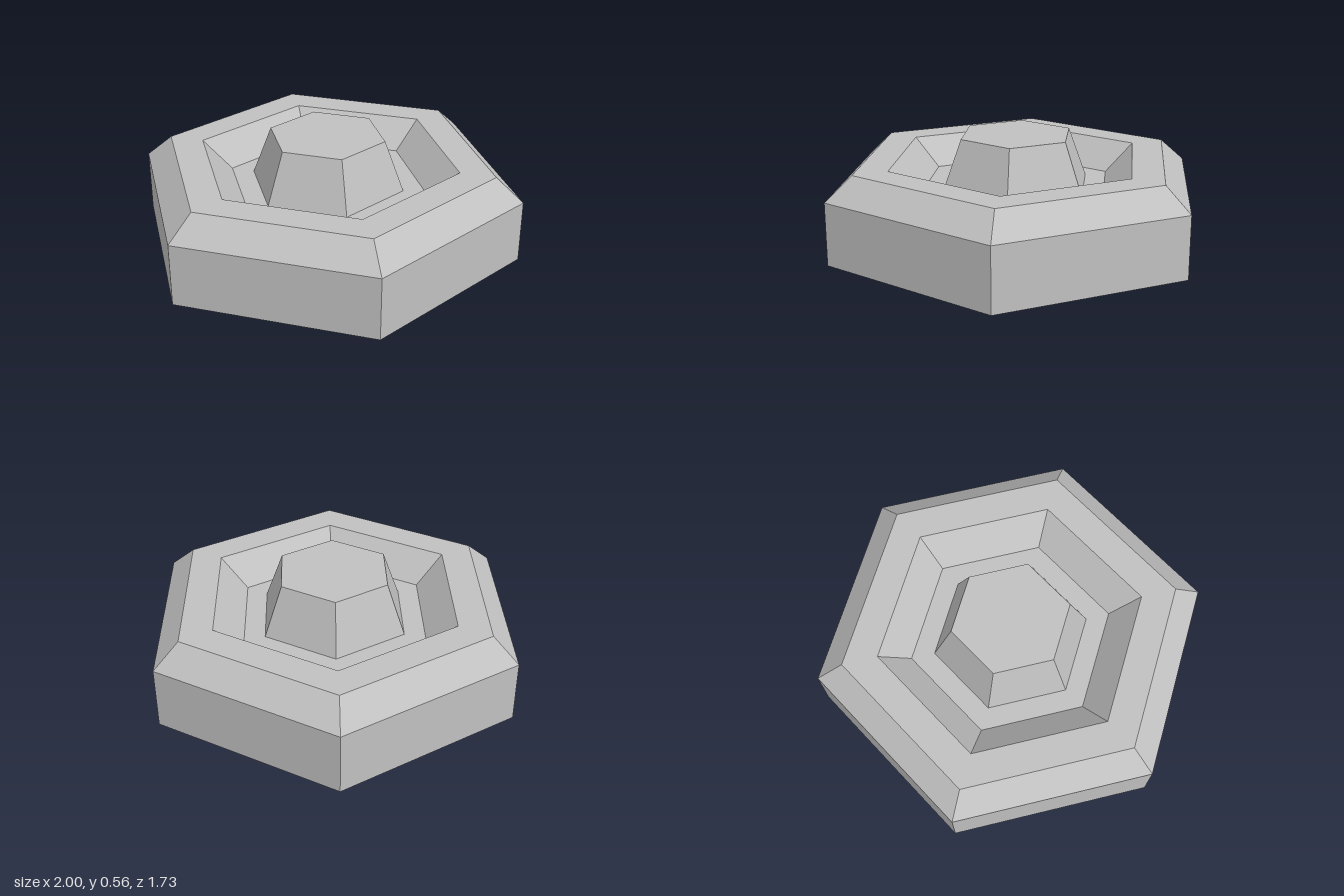
import * as THREE from 'three';

const SIDES = 6;

// Turns a [radius, height] profile into a faceted hexagonal solid, corners on the x axis
function hexTurn(name, profile, material) {
  const points = profile.map(([r, y]) => new THREE.Vector2(r, y));
  const geometry = new THREE.LatheGeometry(points, SIDES, Math.PI / 2).toNonIndexed();
  geometry.computeVertexNormals();
  const mesh = new THREE.Mesh(geometry, material);
  mesh.name = name;
  return mesh;
}

export function createModel() {
  const grey = new THREE.MeshStandardMaterial({ color: 0xc0c0c0 });
  grey.name = 'plain grey';

  const floorY = 0.3;
  const group = new THREE.Group();
  group.name = 'hexagonalBase';

  // Body: underside, walls, chamfer, flat rim, sloped recess and recess floor
  group.add(hexTurn('body', [
    [0, 0], [1, 0], [1, 0.32], [0.86, 0.44],
    [0.68, 0.44], [0.52, floorY], [0.4, floorY],
  ], grey));

  // Tapered knob rising from the recess floor
  group.add(hexTurn('knob', [
    [0.4, floorY], [0.3, 0.56], [0, 0.56],
  ], grey));

  return group;
}
